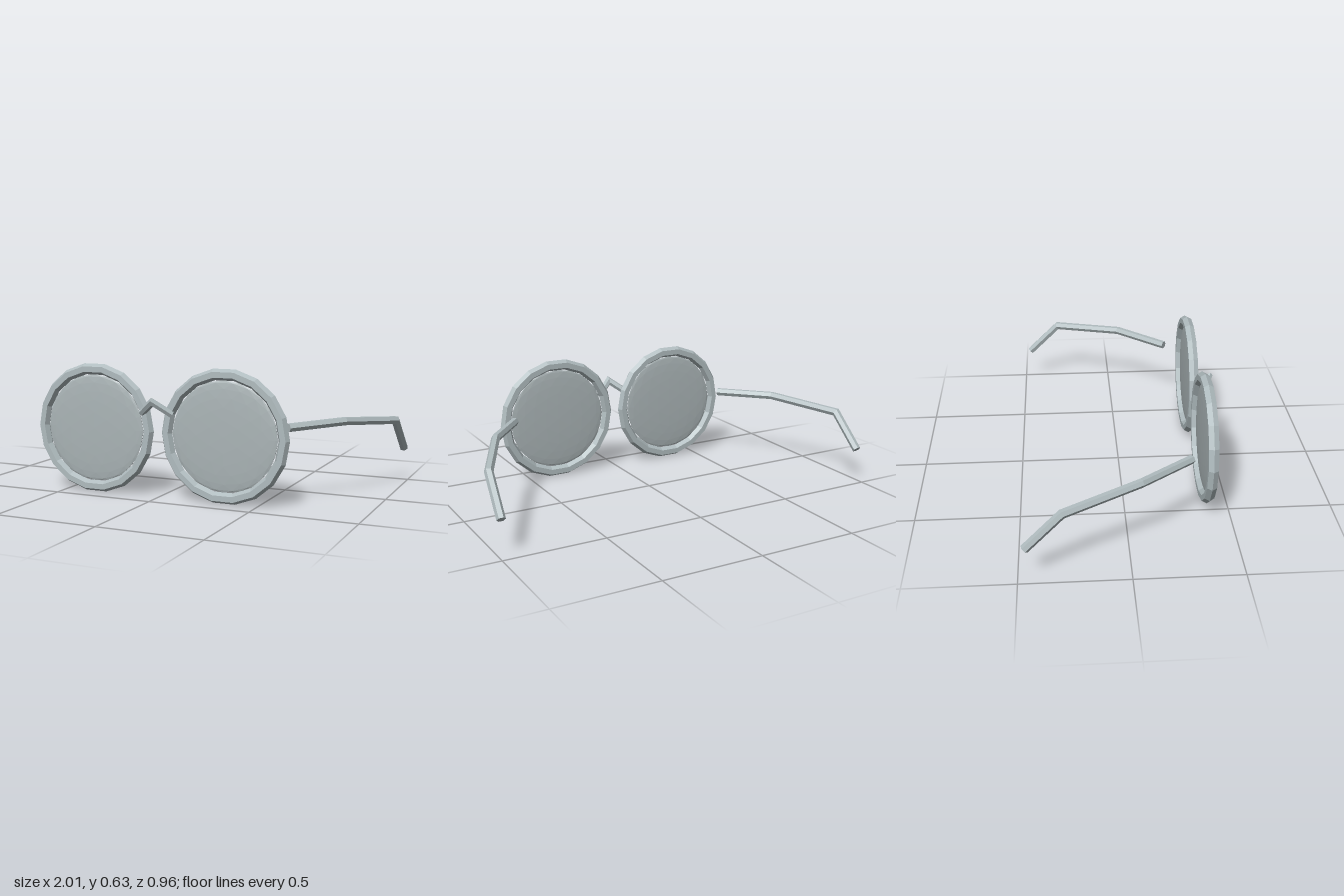
import * as THREE from 'three';

const metal = new THREE.MeshStandardMaterial({ color: 0xb0bcbf, flatShading: true });
metal.name = 'pale metal';
const glass = new THREE.MeshStandardMaterial({ color: 0xaab4b6, flatShading: true });
glass.name = 'grey glass';

// Hexagonal bar along a bent path, with mitred joints and closed ends.
function hexBar(name, path, radius) {
  const sides = 6;
  const pts = path.map((p) => new THREE.Vector3(...p));
  const dirs = pts.slice(1).map((p, i) => p.clone().sub(pts[i]).normalize());
  const side = new THREE.Vector3(0, 1, 0).cross(dirs[0]).normalize();
  const up = dirs[0].clone().cross(side);
  const offsets = Array.from({ length: sides }, (_, j) => {
    const a = (j / sides) * Math.PI * 2;
    return side.clone().multiplyScalar(Math.cos(a) * radius)
      .addScaledVector(up, Math.sin(a) * radius);
  });
  const pos = [];
  const index = [];
  pts.forEach((p, i) => {
    const tin = dirs[Math.max(i - 1, 0)];
    const tout = dirs[Math.min(i, dirs.length - 1)];
    const n = tin.clone().add(tout).normalize();
    // slide each corner along the bar onto the mitre plane
    offsets.forEach((o, j) => {
      o.addScaledVector(tin, -o.dot(n) / tin.dot(n));
      pos.push(p.x + o.x, p.y + o.y, p.z + o.z);
      if (i > 0) {
        const k = (j + 1) % sides;
        const a = (i - 1) * sides;
        const b = i * sides;
        index.push(a + j, a + k, b + k, a + j, b + k, b + j);
      }
    });
  });
  const last = (pts.length - 1) * sides;
  for (let j = 1; j < sides - 1; j++) {
    index.push(0, j + 1, j, last, last + j, last + j + 1);
  }
  const geo = new THREE.BufferGeometry();
  geo.setAttribute('position', new THREE.Float32BufferAttribute(pos, 3));
  geo.setIndex(index);
  geo.computeVertexNormals();
  const mesh = new THREE.Mesh(geo, metal);
  mesh.name = name;
  return mesh;
}

export function createModel() {
  const model = new THREE.Group();
  model.name = 'roundGlasses';

  // Rims and their thin, slightly domed lenses
  const rimGeo = new THREE.TorusGeometry(0.291, 0.027, 6, 18);
  const lensGeo = new THREE.IcosahedronGeometry(0.262, 3).scale(1, 1, 0.05);
  for (const [label, x] of [['right', -0.343], ['left', 0.335]]) {
    const rim = new THREE.Mesh(rimGeo, metal);
    rim.name = label + 'Rim';
    rim.position.set(x, 0.314, 0.393);
    const lens = new THREE.Mesh(lensGeo, glass);
    lens.name = label + 'Lens';
    lens.position.copy(rim.position);
    model.add(rim, lens);
  }

  // Bridge peaking up and forward between the rims
  model.add(hexBar('bridge', [[-0.08, 0.405, 0.408], [-0.002, 0.465, 0.457], [0.076, 0.405, 0.408]], 0.018));

  // Temple arms, bowed outward, with the ear hooks bent down
  const arm = [[0.611, 0.361, 0.297], [0.806, 0.37, 0.05], [0.97, 0.338, -0.3], [0.983, 0.174, -0.464]];
  for (const [label, s] of [['right', -1], ['left', 1]]) {
    model.add(hexBar(label + 'Arm', arm.map(([x, y, z]) => [s * x, y, z]), 0.021));
  }
  return model;
}
